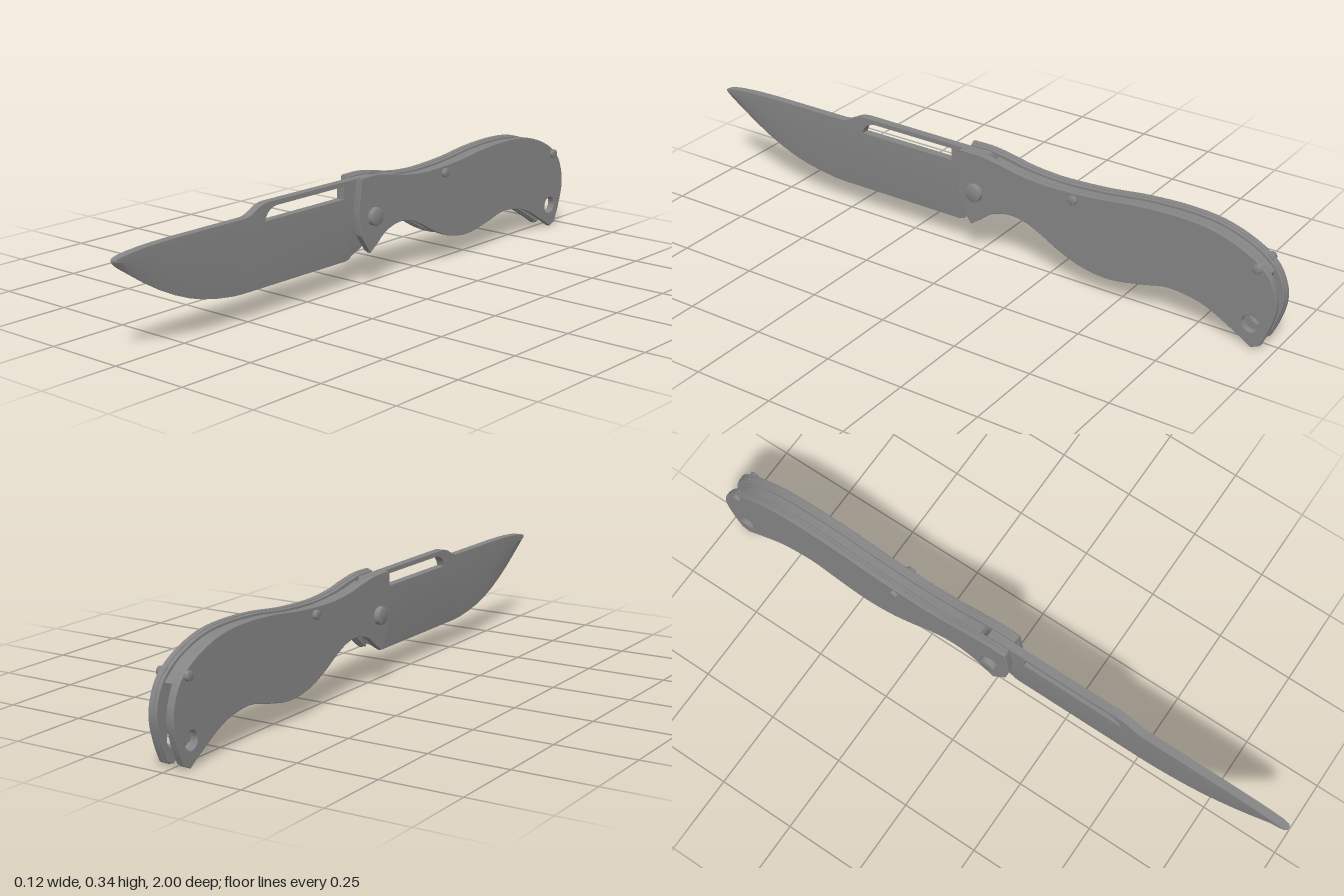
import * as THREE from 'three';
import { toCreasedNormals } from 'three/addons/utils/BufferGeometryUtils.js';

const HALF = 0.013; // half thickness of the blade
const material = new THREE.MeshStandardMaterial({ color: 0x858585 });
const vecs = (list) => list.map(([z, y]) => new THREE.Vector2(z, y));

function part(name, geometry, crease = 0.35) {
  const mesh = new THREE.Mesh(toCreasedNormals(geometry, crease), material);
  mesh.name = name;
  return mesh;
}

// Extrudes a (z, y) shape across x, centred on x, with a rounded rim.
function slab(shape, x, width, round, inset = 0) {
  const geometry = new THREE.ExtrudeGeometry(shape, {
    depth: width - 2 * round, curveSegments: 12, steps: 1,
    bevelEnabled: round > 0, bevelThickness: round, bevelSize: round,
    bevelOffset: -round - inset, bevelSegments: 2,
  });
  geometry.translate(0, 0, -width / 2 + round);
  geometry.rotateY(-Math.PI / 2);
  geometry.translate(x, 0, 0);
  return geometry;
}

// Handle outline with the lanyard hole
function handleShape() {
  const shape = new THREE.Shape();
  shape.moveTo(0.05, 0.342);
  shape.splineThru(vecs([
    [-0.02, 0.342], [-0.09, 0.332], [-0.155, 0.319], [-0.22, 0.312], [-0.29, 0.31],
    [-0.42, 0.317], [-0.556, 0.333], [-0.69, 0.338], [-0.8, 0.327], [-0.9, 0.291],
    [-0.965, 0.244], [-0.995, 0.185], [-1, 0.13], [-0.983, 0.065], [-0.96, 0.012],
  ]));
  shape.lineTo(-0.934, 0);
  shape.lineTo(-0.9, 0.022);
  shape.splineThru(vecs([
    [-0.797, 0.079], [-0.717, 0.1], [-0.652, 0.102], [-0.583, 0.086], [-0.476, 0.068],
    [-0.38, 0.079], [-0.3, 0.11], [-0.235, 0.145], [-0.18, 0.168], [-0.123, 0.174],
    [-0.064, 0.158], [-0.02, 0.126], [0.01, 0.105],
  ]));
  shape.lineTo(0.053, 0.165);
  shape.lineTo(0.064, 0.24);
  shape.closePath();
  const hole = new THREE.Path();
  hole.absarc(-0.928, 0.075, 0.027, 0, Math.PI * 2, true);
  shape.holes.push(hole);
  return shape;
}

// Blade body: rings with a thin edge, a shoulder and a flat spine
function bladeGeometry() {
  // z, cutting edge height, top height
  const stations = [
    [-0.06, 0.2, 0.283], [-0.02, 0.13, 0.283], [0.03, 0.108, 0.283], [0.057, 0.098, 0.283],
    [0.062, 0.092, 0.283], [0.078, 0.087, 0.283], [0.519, 0.087, 0.283], [0.52, 0.087, 0.307],
    [0.56, 0.089, 0.307], [0.62, 0.097, 0.307], [0.68, 0.109, 0.307], [0.73, 0.124, 0.307],
    [0.78, 0.144, 0.307], [0.835, 0.171, 0.306], [0.89, 0.203, 0.304], [0.94, 0.236, 0.3],
    [0.975, 0.259, 0.295], [0.992, 0.272, 0.291], [1, 0.281, 0.288],
  ];
  const positions = [], index = [], n = 6;
  stations.forEach(([z, edge, top]) => {
    const height = top - edge;
    const shoulder = edge + Math.min(0.11, 0.55 * height);
    const w = Math.min(HALF, 0.003 + 0.4 * height);
    const t = 0.003;
    [[-t, edge], [t, edge], [w, shoulder], [w, top], [-w, top], [-w, shoulder]]
      .forEach(([x, y]) => positions.push(x, y, z));
  });
  const last = (stations.length - 1) * n;
  for (let r = 0; r < last; r += n) {
    for (let j = 0; j < n; j++) {
      const a = r + j, b = r + (j + 1) % n;
      index.push(a, b, b + n, a, b + n, a + n);
    }
  }
  for (let j = 1; j < n - 1; j++) {
    index.push(0, j + 1, j, last, last + j, last + j + 1);
  }
  const geometry = new THREE.BufferGeometry();
  geometry.setAttribute('position', new THREE.Float32BufferAttribute(positions, 3));
  geometry.setIndex(index);
  return geometry;
}

// Raised spine bar above the blade body, with the long opening notched out below
function spineShape() {
  const shape = new THREE.Shape();
  shape.moveTo(0.52, 0.283);
  shape.lineTo(0.52, 0.307);
  shape.bezierCurveTo(0.48, 0.307, 0.47, 0.336, 0.42, 0.337);
  shape.lineTo(-0.03, 0.335);
  shape.lineTo(-0.06, 0.283);
  shape.lineTo(0.1, 0.283);
  shape.lineTo(0.1, 0.322);
  shape.lineTo(0.39, 0.322);
  shape.quadraticCurveTo(0.43, 0.316, 0.436, 0.283);
  shape.closePath();
  return shape;
}

// Bar between the handle halves, following the back of the handle
function spacerShape() {
  const top = [
    [-0.055, 0.325], [-0.155, 0.308], [-0.29, 0.3], [-0.42, 0.307], [-0.556, 0.323],
    [-0.69, 0.328], [-0.8, 0.317], [-0.9, 0.281], [-0.965, 0.232],
  ];
  const bottom = top.map(([z, y]) => [z + 0.012, y - 0.045]).reverse();
  const shape = new THREE.Shape();
  shape.moveTo(...top[0]);
  shape.splineThru(vecs(top.slice(1)));
  shape.lineTo(...bottom[0]);
  shape.splineThru(vecs(bottom.slice(1)));
  shape.closePath();
  return shape;
}

// Fastener heads standing out of both handle halves
function fastener(name, z, y, radius, reach, chamfer) {
  const group = new THREE.Group();
  group.name = name;
  const profile = vecs([
    [0, 0.022], [radius, 0.022], [radius, reach - chamfer],
    [radius - 0.3 * chamfer, reach - 0.3 * chamfer], [radius - chamfer, reach], [0, reach],
  ]);
  for (const side of [1, -1]) {
    const geometry = new THREE.LatheGeometry(profile, 32);
    geometry.rotateZ(-side * Math.PI / 2);
    geometry.translate(0, y, z);
    group.add(part(name + 'Head', geometry, 0.5));
  }
  return group;
}

export function createModel() {
  const model = new THREE.Group();
  model.name = 'foldingKnife';

  // Handle halves, each an outer scale over a slightly smaller liner
  const outline = handleShape();
  for (const [side, label] of [[1, 'left'], [-1, 'right']]) {
    model.add(part(label + 'Scale', slab(outline, side * 0.033, 0.016, 0.002)));
    model.add(part(label + 'Liner', slab(outline, side * 0.0215, 0.013, 0.002, 0.003)));
  }

  // Blade
  const blade = new THREE.Group();
  blade.name = 'blade';
  blade.add(part('bladeBody', bladeGeometry()));
  blade.add(part('bladeSpine', slab(spineShape(), 0, HALF * 2, 0)));
  model.add(blade);

  // Spacer and fasteners
  model.add(part('backSpacer', slab(spacerShape(), 0, 0.026, 0)));
  model.add(fastener('pivot', -0.005, 0.217, 0.028, 0.058, 0.004));
  model.add(fastener('middleScrew', -0.347, 0.29, 0.014, 0.052, 0.003));
  model.add(fastener('rearScrew', -0.938, 0.252, 0.014, 0.052, 0.003));
  return model;
}
